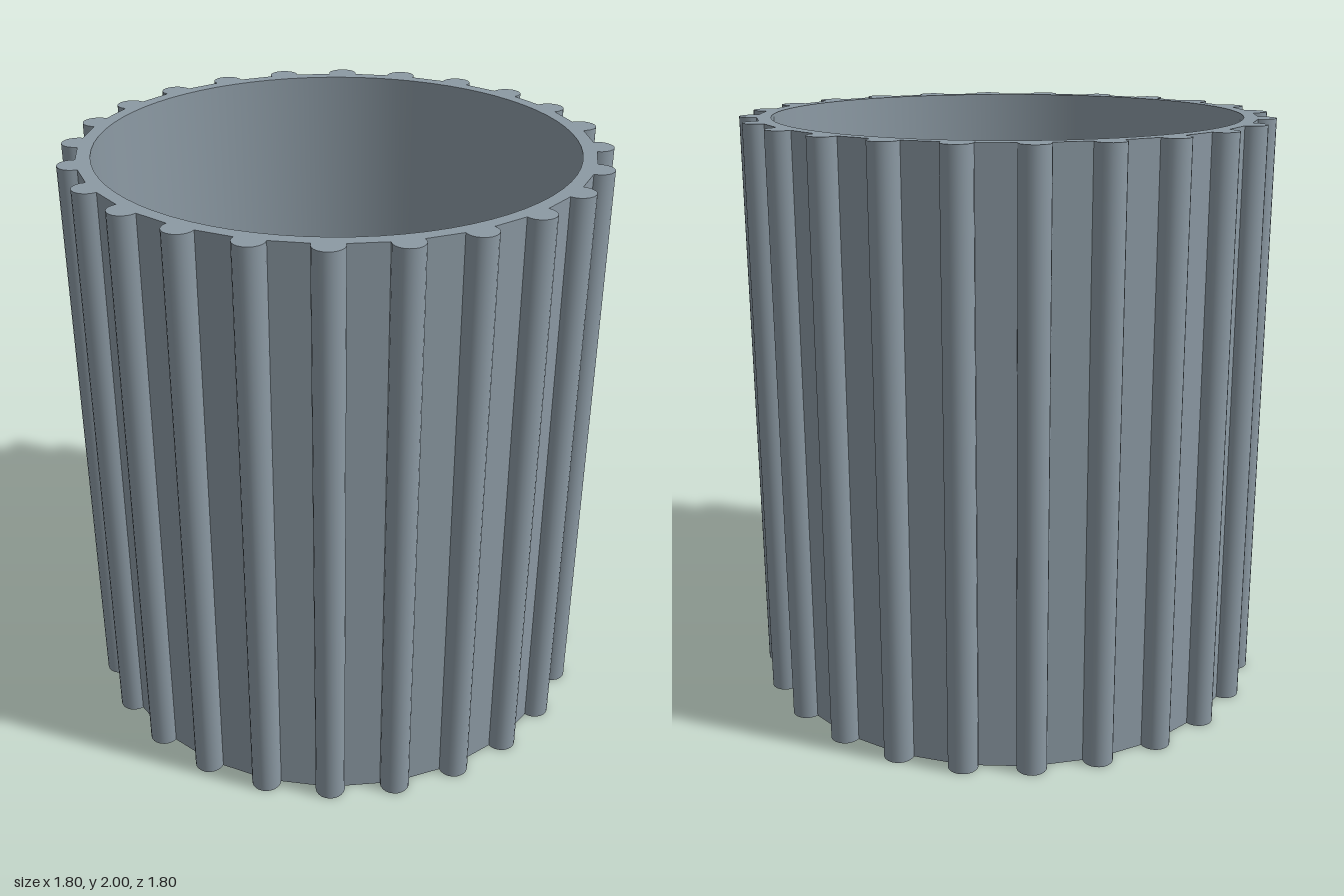
import * as THREE from 'three';
import { toCreasedNormals } from 'three/addons/utils/BufferGeometryUtils.js';

const HEIGHT = 2;
const INNER_RADIUS = 0.793;
const FLOOR_THICKNESS = 0.05;
const RIBS = 24;
const RIB_CENTRE = 0.85;
const RIB_RADIUS = 0.05;
const RIB_STEPS = 12;

// Plan outline: rounded ribs joined by straight flat panels
function ribbedOutline() {
  const points = [];
  const sweep = THREE.MathUtils.degToRad(103.2);
  for (let i = 0; i < RIBS; i++) {
    const a = (i / RIBS) * Math.PI * 2;
    for (let j = 0; j <= RIB_STEPS; j++) {
      const t = a - sweep + (2 * sweep * j) / RIB_STEPS;
      points.push(new THREE.Vector2(
        RIB_CENTRE * Math.cos(a) + RIB_RADIUS * Math.cos(t),
        RIB_CENTRE * Math.sin(a) + RIB_RADIUS * Math.sin(t)
      ));
    }
  }
  return new THREE.Shape(points);
}

export function createModel() {
  const model = new THREE.Group();
  model.name = 'ribbedCup';

  const greyBlue = new THREE.MeshStandardMaterial({ color: 0x8c9aa4 });
  greyBlue.name = 'greyBlue';

  // Ribbed wall with a round bore
  const outline = ribbedOutline();
  const bore = new THREE.Path();
  bore.absarc(0, 0, INNER_RADIUS, 0, Math.PI * 2, true);
  outline.holes.push(bore);
  const wallGeometry = new THREE.ExtrudeGeometry(outline, {
    depth: HEIGHT, bevelEnabled: false, curveSegments: 36,
  });
  wallGeometry.rotateX(-Math.PI / 2);
  const wall = new THREE.Mesh(toCreasedNormals(wallGeometry, Math.PI / 5), greyBlue);
  wall.name = 'ribbedWall';
  model.add(wall);

  // Floor disc closing the bottom
  const floor = new THREE.Mesh(
    new THREE.CylinderGeometry(INNER_RADIUS, INNER_RADIUS, FLOOR_THICKNESS, 72),
    greyBlue
  );
  floor.rotation.y = Math.PI / 2;
  floor.position.y = FLOOR_THICKNESS / 2;
  floor.name = 'floor';
  model.add(floor);

  return model;
}
